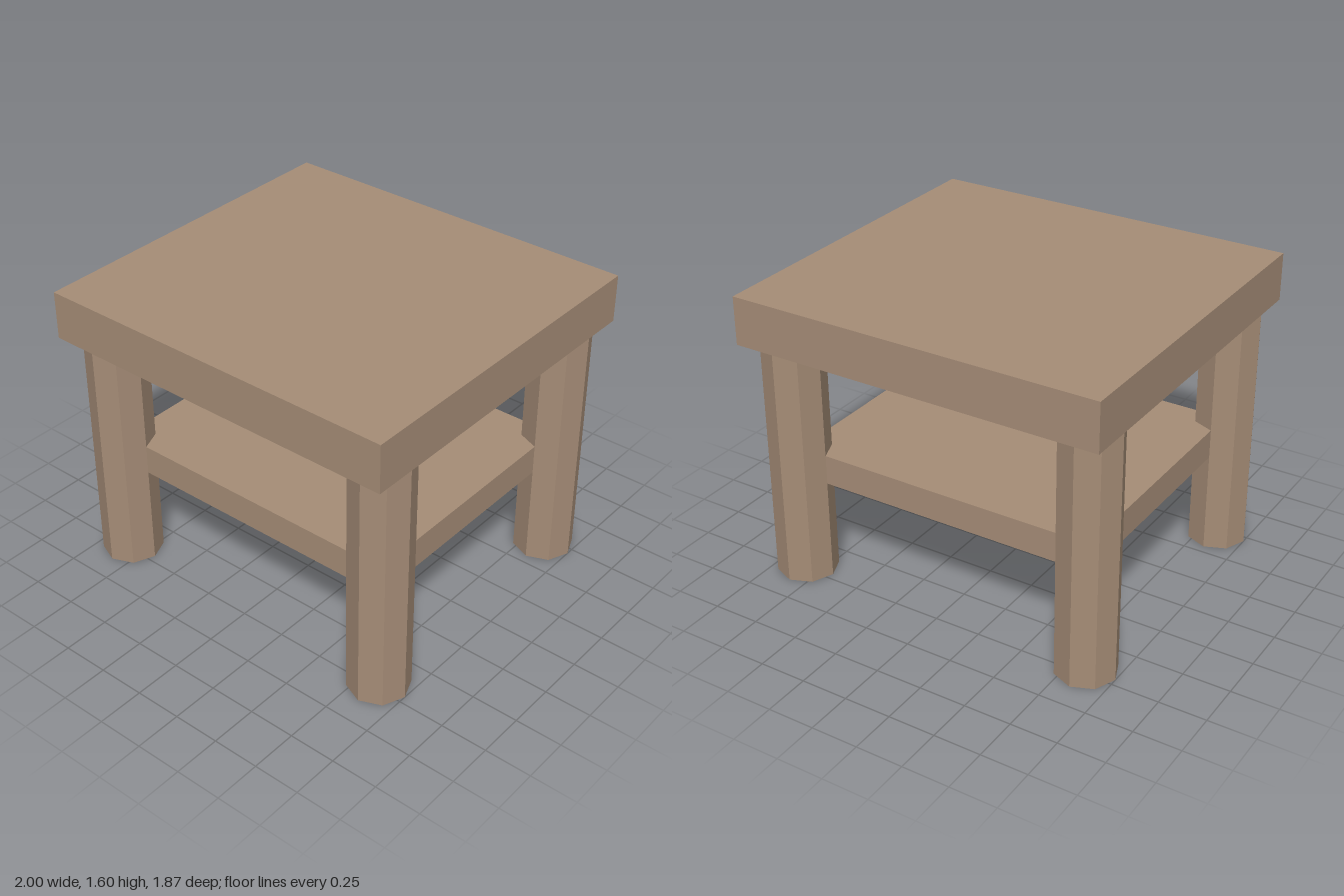
import * as THREE from 'three';

export function createModel() {
  const table = new THREE.Group();
  table.name = 'sideTable';

  const wood = new THREE.MeshStandardMaterial({ color: 0xa68d77, flatShading: true });
  wood.name = 'wood';

  const add = (name, geometry, x, y, z) => {
    const mesh = new THREE.Mesh(geometry, wood);
    mesh.name = name;
    mesh.position.set(x, y, z);
    table.add(mesh);
  };

  // Thick top slab
  add('tableTop', new THREE.BoxGeometry(2, 0.255, 1.866), 0, 1.4675, 0);

  // Lower shelf, its corners sunk into the legs
  add('lowerShelf', new THREE.BoxGeometry(1.68, 0.16, 1.42), 0, 0.63, 0);

  // Four octagonal legs, running up into the slab
  const legHeight = 1.45;
  const legGeometry = new THREE.CylinderGeometry(0.16, 0.16, legHeight, 8);
  for (const [sz, end] of [[1, 'front'], [-1, 'back']]) {
    for (const [sx, side] of [[1, 'Left'], [-1, 'Right']]) {
      add(`${end}${side}Leg`, legGeometry, sx * 0.84, legHeight / 2, sz * 0.71);
    }
  }

  return table;
}
